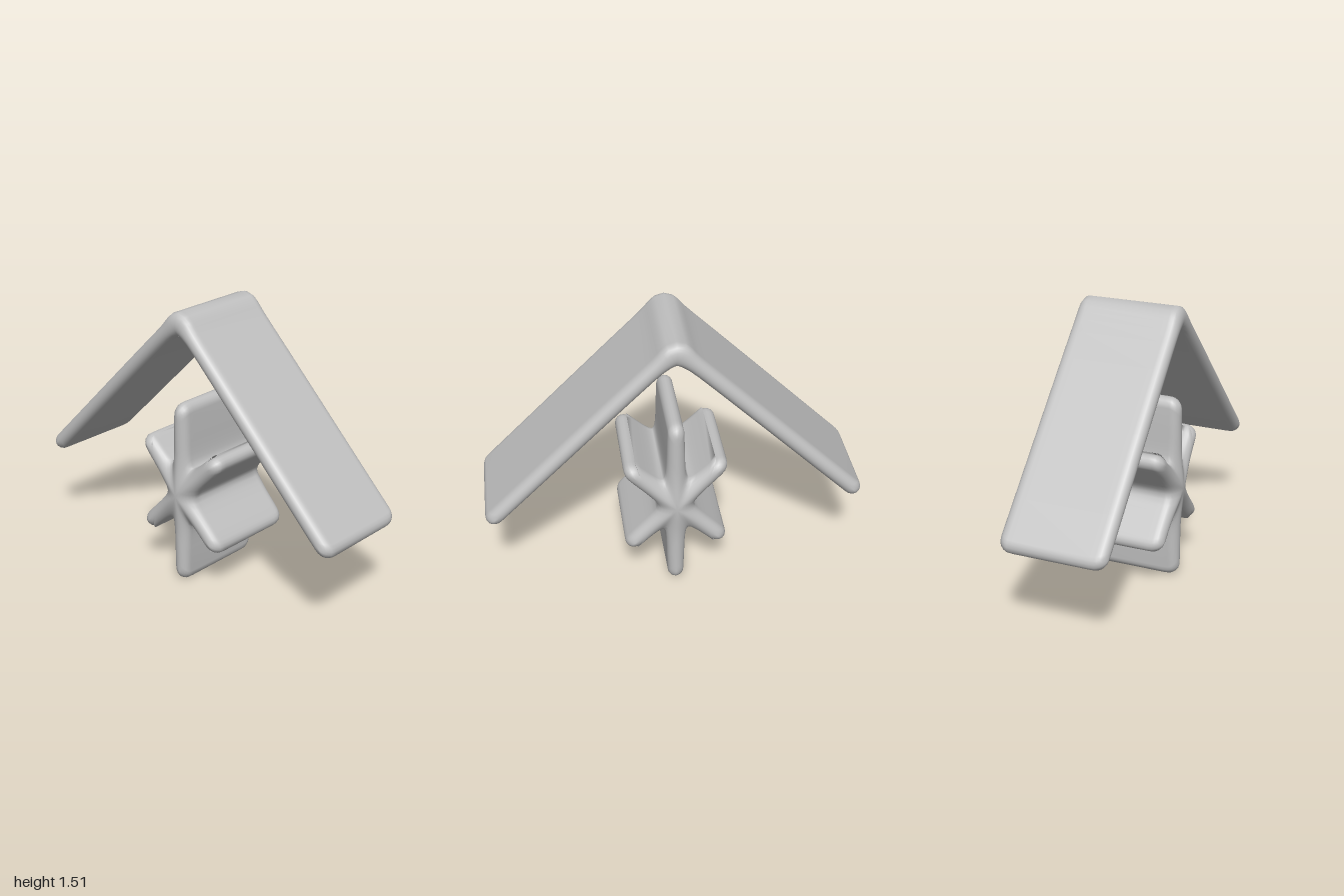
import * as THREE from 'three';
import { mergeVertices } from 'three/addons/utils/BufferGeometryUtils.js';

const H = 0.043;   // half thickness of every slab
const TIP = 0.05;  // length of a rounded tip

// quarter-round rise from 0 to 1 over the radius r
const round = (d, r) => Math.sqrt(Math.max(0, 1 - Math.max(0, 1 - d / r) ** 2));

// Rounded tip around centre c, pointing along angle a, from its right to its left side
function tip(cx, cy, a, h) {
  const pts = [];
  for (let i = 0; i <= 8; i++) {
    const t = -Math.PI / 2 + (Math.PI * i) / 8;
    const u = TIP * Math.cos(t), w = h * Math.sin(t);
    pts.push([cx + u * Math.cos(a) - w * Math.sin(a), cy + u * Math.sin(a) + w * Math.cos(a)]);
  }
  return pts;
}

// Lofts outline(h, inset) through z; the front and back edges round off to a thin line
function loft(outline, depth, bulge = () => 0) {
  const edge = [0, 0.001, 0.004, 0.009, 0.017, 0.028, 0.042, 0.055, 0.08];
  const layers = [
    ...edge.map((d) => [d, -1]),
    ...edge.slice().reverse().map((d) => [d, 1]),
  ];
  const pos = [], idx = [];
  let n = 0;
  for (const [d, side] of layers) {
    const pts = outline(H * round(d, 0.045), 0.065 * (1 - round(d, 0.07)));
    n = pts.length;
    for (const [x, y] of pts) pos.push(x, y, side * (depth - d + bulge(x, y) * (1 - d / 0.08)));
  }
  for (let k = 0; k < layers.length - 1; k++) {
    for (let i = 0; i < n; i++) {
      const a = k * n + i, b = k * n + ((i + 1) % n);
      idx.push(a, b, b + n, a, b + n, a + n);
    }
  }
  const geo = new THREE.BufferGeometry();
  geo.setAttribute('position', new THREE.Float32BufferAttribute(pos, 3));
  geo.setIndex(idx);
  const merged = mergeVertices(geo, 1e-5);
  merged.computeVertexNormals();
  return merged;
}

// Chevron: a hyperbolic centre line, thicker at the apex, with rounded ends
function roofOutline(h, inset) {
  const end = 0.954 - inset * Math.SQRT1_2;
  const xs = [0.8, 0.5, 0.25, 0.14, 0.09, 0.06, 0.04, 0.02];
  const all = [...xs, 0, ...xs.slice().reverse().map((x) => -x)];
  const at = (x, s) => {
    const q = Math.hypot(x, 0.035), slope = x / q, l = Math.hypot(slope, 1);
    const t = s * h * (1 + 0.5 * Math.exp(-((x / 0.06) ** 2)));
    return [x + (t * slope) / l, 1.485 - q + t / l];
  };
  const y = 1.485 - end;
  return [
    ...tip(end, y, -Math.PI / 4, h),
    ...all.map((x) => at(x, 1)),
    ...tip(-end, y, -Math.PI * 0.75, h),
    ...all.slice().reverse().map((x) => at(x, -1)),
  ];
}

// Six-armed star: rounded arm tips joined by filleted valleys
function starOutline(h, inset) {
  const arms = [45, 90, 135, 225, 270, 315];
  const pts = [];
  arms.forEach((deg, i) => {
    const a = THREE.MathUtils.degToRad(deg);
    const c = (deg % 180 === 90 ? 0.512 : 0.37) - TIP - inset;
    pts.push(...tip(c * Math.cos(a), c * Math.sin(a), a, h));
    const next = i < 5 ? arms[i + 1] : 405;
    const half = THREE.MathUtils.degToRad((next - deg) / 2), mid = a + half;
    const fillet = (next - deg > 60 ? 0.035 : 0.065) * (h / H);
    for (let j = -6; j <= 6; j++) {
      const w = (j / 6) * 0.23 * Math.sin(half);
      const u = h / Math.sin(half) + Math.hypot(w / Math.tan(half), fillet);
      pts.push([u * Math.cos(mid) - w * Math.sin(mid), u * Math.sin(mid) + w * Math.cos(mid)]);
    }
  });
  return pts;
}

export function createModel() {
  const group = new THREE.Group();
  const grey = new THREE.MeshStandardMaterial({ color: 0xc0c0c0 });
  grey.name = 'plainGrey';

  const roof = new THREE.Mesh(loft(roofOutline, 0.285), grey);
  roof.name = 'chevronRoof';

  // the hub swells slightly at front and back
  const swell = (x, y) => 0.018 * Math.exp(-((x * x + y * y) / 0.0196));
  const star = new THREE.Mesh(loft(starOutline, 0.277, swell), grey);
  star.name = 'sixArmedStar';
  star.position.y = 0.512;

  group.add(roof, star);
  return group;
}
